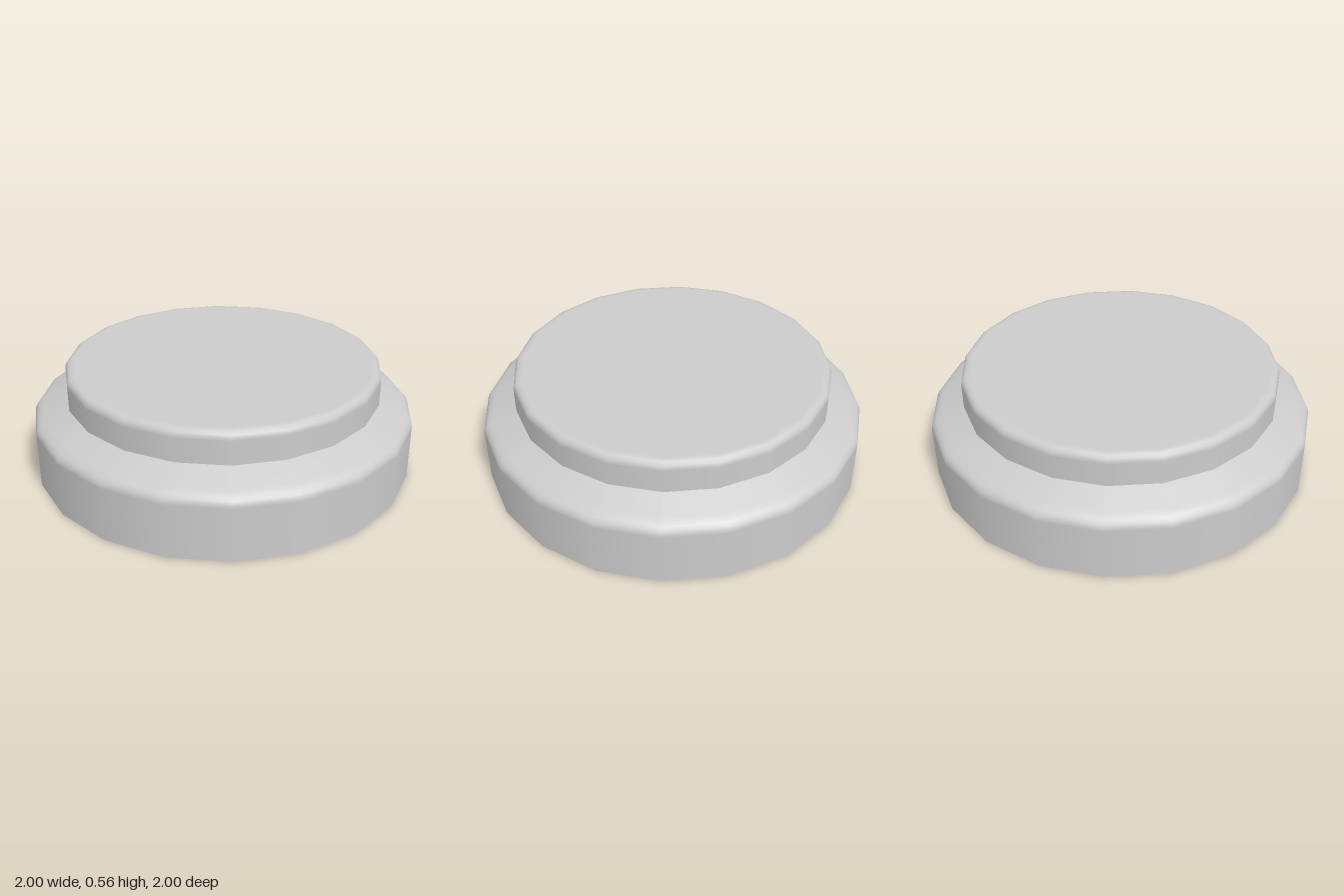
import * as THREE from 'three';

const SIDES = 20;

export function createModel() {
  const group = new THREE.Group();
  const material = new THREE.MeshStandardMaterial({ color: 0xcccccc });

  // Each profile runs from bottom to top; separate lathes keep hard edges between parts
  const addLathe = (name, profile) => {
    const points = profile.map(([r, y]) => new THREE.Vector2(r, y));
    const mesh = new THREE.Mesh(new THREE.LatheGeometry(points, SIDES), material);
    mesh.name = name;
    group.add(mesh);
  };

  // Flat underside
  addLathe('underside', [[0, 0], [1, 0]]);

  // Wide base with a rounded rim and sloping shoulder
  addLathe('base', [
    [1, 0], [1, 0.28], [1, 0.295], [0.992, 0.313], [0.978, 0.327],
    [0.955, 0.339], [0.94, 0.346], [0.81, 0.403],
  ]);

  // Raised cap with a softened upper edge
  addLathe('cap', [
    [0.825, 0.39], [0.825, 0.52], [0.825, 0.53], [0.82, 0.546],
    [0.808, 0.558], [0.79, 0.563], [0.775, 0.563],
  ]);

  // Flat top face
  addLathe('capTop', [[0.775, 0.563], [0, 0.563]]);

  return group;
}
